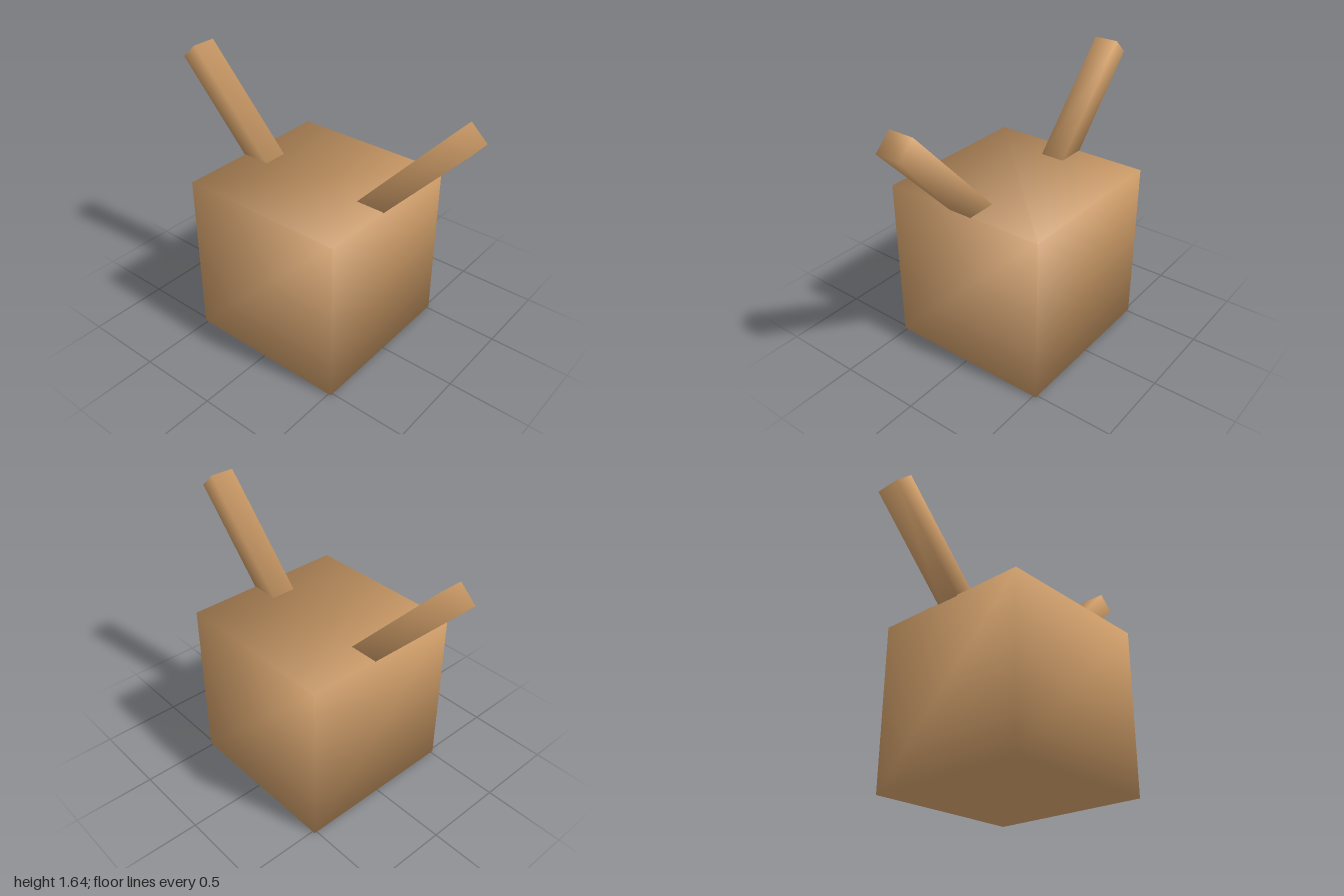
import * as THREE from 'three';

// Box whose normals are shared at each corner, so the shading rolls smoothly over the edges
function smoothBox(w, h, d) {
  const geometry = new THREE.BoxGeometry(w, h, d);
  const { position, normal } = geometry.attributes;
  const n = new THREE.Vector3();
  for (let i = 0; i < position.count; i++) {
    n.set(Math.sign(position.getX(i)), Math.sign(position.getY(i)), Math.sign(position.getZ(i))).normalize();
    normal.setXYZ(i, n.x, n.y, n.z);
  }
  return geometry;
}

export function createModel() {
  const model = new THREE.Group();
  model.name = 'hornedCube';
  const tan = new THREE.MeshStandardMaterial({ name: 'tan', color: 0xd09e69 });

  // Cube body standing on the ground
  const size = 1.035;
  const body = new THREE.Mesh(smoothBox(size, size, size), tan);
  body.name = 'body';
  body.position.y = size / 2;
  model.add(body);

  // Two square bars leaning outwards, their feet sunk into the top edges
  const foot = new THREE.Vector2(0.385, 0.985);
  const tip = new THREE.Vector2(0.95, 1.595);
  const length = foot.distanceTo(tip);
  const lean = Math.atan2(tip.x - foot.x, tip.y - foot.y);
  for (const side of [1, -1]) {
    const bar = new THREE.Mesh(smoothBox(0.135, length, 0.155), tan);
    bar.name = side > 0 ? 'leftBar' : 'rightBar';
    bar.position.set(side * (foot.x + tip.x) / 2, (foot.y + tip.y) / 2, 0);
    bar.rotation.z = -side * lean;
    model.add(bar);
  }
  return model;
}
